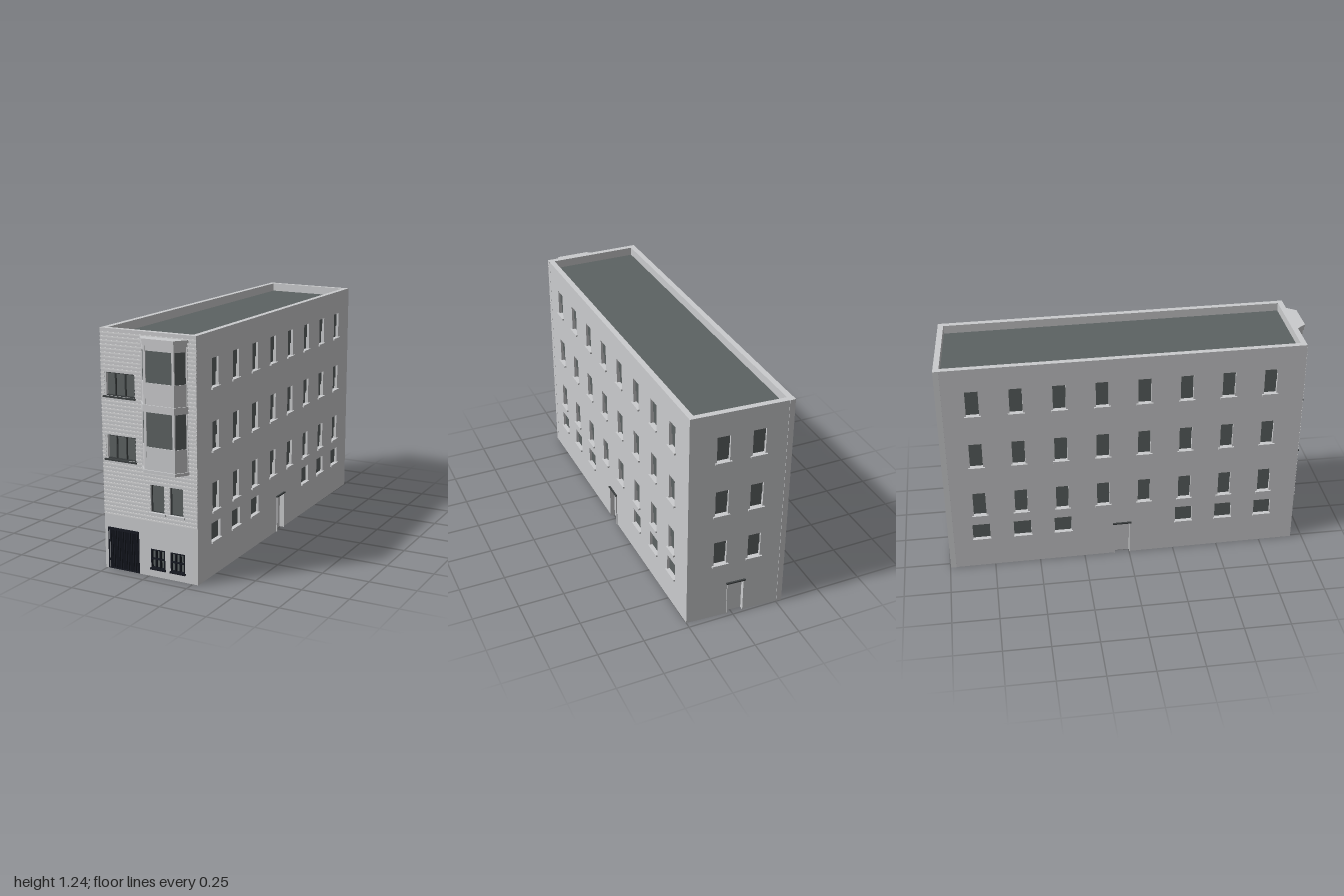
import * as THREE from 'three';

const H = 1.235, T = 0.03;
const mat = (name, color) => {
  const m = new THREE.MeshStandardMaterial({ color });
  m.name = name;
  return m;
};

export function createModel() {
  const wallMat = mat('pale grey wall', 0xcbccce);
  const sidingMat = mat('light siding', 0xdadadb);
  const glassMat = mat('dark grey glass and roof', 0x5c6262);
  const frameMat = mat('charcoal frame', 0x3c4041);
  const ironMat = mat('black iron', 0x161922);
  const model = new THREE.Group();
  model.name = 'building';

  const add = (parent, name, geo, material) => {
    const m = new THREE.Mesh(geo, material);
    m.name = name;
    parent.add(m);
    return m;
  };
  // Box given by its limits in a wall's own frame: along, up, outward
  const box = (parent, name, material, u0, u1, y0, y1, w0, w1) => {
    const m = add(parent, name, new THREE.BoxGeometry(u1 - u0, y1 - y0, w1 - w0), material);
    m.position.set((u0 + u1) / 2, (y0 + y1) / 2, (w0 + w1) / 2);
    return m;
  };
  // Horizontal slab from plan points [x, z]
  const slab = (parent, name, material, plan, y0, y1) => {
    const shape = new THREE.Shape(plan.map(([x, z]) => new THREE.Vector2(x, -z)));
    const geo = new THREE.ExtrudeGeometry(shape, { depth: y1 - y0, bevelEnabled: false });
    geo.rotateX(-Math.PI / 2);
    add(parent, name, geo, material).position.y = y0;
  };

  // Wall from a to b (left to right seen from outside) with window holes and a doorway notch
  function makeWall(name, a, b, holes, door) {
    const g = new THREE.Group();
    g.name = name;
    const dx = b[0] - a[0], dz = b[1] - a[1], half = Math.hypot(dx, dz) / 2;
    g.position.set((a[0] + b[0]) / 2, 0, (a[1] + b[1]) / 2);
    g.rotation.y = Math.atan2(-dz, dx);
    const pts = [[-half, 0]];
    if (door) pts.push([door[0], 0], [door[0], door[2]], [door[1], door[2]], [door[1], 0]);
    pts.push([half, 0], [half, H], [-half, H]);
    const vec = ([x, y]) => new THREE.Vector2(x, y);
    const shape = new THREE.Shape(pts.map(vec));
    for (const [u0, u1, y0, y1] of holes) {
      shape.holes.push(new THREE.Path([[u0, y0], [u0, y1], [u1, y1], [u1, y0]].map(vec)));
    }
    const geo = new THREE.ExtrudeGeometry(shape, { depth: T, bevelEnabled: false });
    geo.translate(0, 0, -T);
    add(g, name + 'Panel', geo, wallMat);
    model.add(g);
    return g;
  }

  const sill = (g, u0, u1, y) => box(g, 'sill', wallMat, u0 - 0.01, u1 + 0.01, y - 0.008, y + 0.002, -0.02, 0.01);
  // Sliding sash window: upper pane sits in front of the lower one
  function sashWindow(g, [u0, u1, y0, y1]) {
    const mid = (y0 + y1) / 2;
    box(g, 'upperSash', glassMat, u0, u1, mid - 0.004, y1, -0.022, -0.012);
    box(g, 'lowerSash', glassMat, u0, u1, y0, mid, -0.028, -0.018);
    sill(g, u0, u1, y0);
  }
  // Frame with an even grid of bars
  function grid(g, name, material, [u0, u1, y0, y1], cols, rows, t, w0, w1) {
    for (let i = 0; i <= cols; i++) {
      const u = u0 + t / 2 + (u1 - u0 - t) * i / cols;
      box(g, name, material, u - t / 2, u + t / 2, y0, y1, w0, w1);
    }
    for (let j = 0; j <= rows; j++) {
      const y = y0 + t / 2 + (y1 - y0 - t) * j / rows;
      box(g, name, material, u0, u1, y - t / 2, y + t / 2, w0, w1);
    }
  }
  // Recessed door with a slightly proud surround
  function addDoor(g, [u0, u1, h]) {
    box(g, 'door', wallMat, u0, u1, 0, h, -0.026, -0.02);
    box(g, 'doorBack', glassMat, u0, u1, 0, h, -0.034, -0.026);
    for (const u of [u0, u1]) box(g, 'doorJamb', wallMat, u - 0.003, u + 0.003, 0, h, -0.02, 0.006);
    box(g, 'doorLintel', frameMat, u0 - 0.008, u1 + 0.008, h - 0.002, h + 0.005, -0.02, 0.01);
  }

  // Slightly skewed footprint
  const FL = [-0.26, 0.937], FR = [0.28, 0.937], BR = [0.25, -0.965], BL = [-0.285, -0.997];
  const floors = [[0.335, 0.48], [0.645, 0.79], [0.96, 1.105]];

  // Long side walls and back wall
  function sashWall(name, a, b, columns, smallColumns, door) {
    const tall = [], small = [];
    for (const u of columns) for (const [y0, y1] of floors) tall.push([u - 0.034, u + 0.034, y0, y1]);
    for (const u of smallColumns) small.push([u - 0.047, u + 0.047, 0.18, 0.275]);
    const g = makeWall(name, a, b, [...tall, ...small], door);
    tall.forEach((o) => sashWindow(g, o));
    for (const o of small) {
      box(g, 'lowWindow', glassMat, ...o, -0.026, -0.014);
      sill(g, o[0] + 0.006, o[1] - 0.006, o[2]);
    }
    addDoor(g, door);
  }
  const columnsFor = (pitch) => Array.from({ length: 8 }, (_, i) => (i - 3.5) * pitch);
  for (const [name, a, b, pitch] of [['leftWall', FR, BR, 0.218], ['rightWall', BL, FL, 0.224]]) {
    const cols = columnsFor(pitch);
    sashWall(name, a, b, cols, cols.filter((_, i) => i < 3 || i > 4), [-0.052, 0.035, 0.2]);
  }
  sashWall('backWall', BR, BL, [-0.0925, 0.0925], [], [-0.045, 0.045, 0.2]);

  // Front wall openings
  const triple = [[-0.25, -0.075, 0.58, 0.702], [-0.25, -0.075, 0.9, 1.018]];
  const pair = [[0.005, 0.083, 0.335, 0.477], [0.115, 0.19, 0.335, 0.477]];
  const barred = [[0.003, 0.083, 0.045, 0.145], [0.116, 0.196, 0.045, 0.145]];
  const gate = [-0.25, -0.067, 0.22];
  const front = makeWall('frontWall', FL, FR, [...triple, ...pair, ...barred], gate);
  for (const o of [...triple, ...pair, ...barred]) box(front, 'frontGlass', glassMat, ...o, -0.028, -0.016);
  for (const o of triple) {
    grid(front, 'tripleFrame', frameMat, o, 3, 1, 0.005, -0.018, -0.006);
    box(front, 'tripleSill', frameMat, o[0] - 0.006, o[1] + 0.006, o[2] - 0.008, o[2], -0.02, 0.01);
  }
  for (const o of pair) {
    grid(front, 'pairFrame', frameMat, o, 1, 1, 0.004, -0.018, -0.008);
    sill(front, o[0], o[1], o[2]);
  }
  for (const o of barred) {
    grid(front, 'windowGrille', ironMat, o, 3, 2, 0.005, -0.012, 0.003);
    box(front, 'grilleSill', ironMat, o[0] - 0.004, o[1] + 0.004, 0.038, 0.047, -0.01, 0.009);
  }

  // Barred garage gate
  box(front, 'gateBacking', glassMat, gate[0], gate[1], 0, gate[2], -0.036, -0.026);
  grid(front, 'gateBars', ironMat, [gate[0], gate[1], 0.002, gate[2]], 17, 1, 0.0055, -0.006, 0.003);
  box(front, 'gateTopRail', ironMat, gate[0], gate[1], 0.208, 0.221, -0.006, 0.005);

  // Horizontal siding, interrupted by the windows
  for (let y = 0.29; y < 1.22; y += 0.02) {
    let u = -0.27;
    const cuts = [...triple, ...pair].filter((o) => y + 0.007 > o[2] - 0.008 && y < o[3]);
    cuts.sort((p, q) => p[0] - q[0]);
    for (const [u0, u1] of [...cuts, [0.27, 0.27]]) {
      box(front, 'siding', sidingMat, u, u0, y, y + 0.007, -0.002, 0.003);
      u = u1;
    }
  }

  // Two-storey bay window
  const bay = new THREE.Group();
  bay.name = 'bayWindow';
  model.add(bay);
  const plan = (o) => [[-0.024 - o, 0.925], [-0.024 - o, 0.938], [0.02 - o / 2, 0.992 + o],
    [0.189 + o / 2, 0.992 + o], [0.23 + o, 0.938], [0.23 + o, 0.925]];
  const layers = [
    ['bayFoot', 0.555, 0.57, 0.007], ['bayApron', 0.57, 0.685, 0],
    ['bayGlass', 0.685, 0.858, -0.004], ['bayBelt', 0.858, 0.893, 0.006],
    ['bayApron', 0.893, 1.0, 0], ['bayGlass', 1.0, 1.155, -0.004],
    ['bayHead', 1.155, 1.18, 0], ['bayCornice', 1.18, 1.2, 0.004], ['bayCap', 1.2, 1.213, 0.008],
  ];
  for (const [name, y0, y1, o] of layers) {
    slab(bay, name, name === 'bayGlass' ? glassMat : wallMat, plan(o), y0, y1);
  }
  // Posts at the bay's corners and against the wall
  for (const [x, z, w] of [[0.0255, 0.988, 0.013], [0.1835, 0.988, 0.013], [-0.022, 0.936, 0.008], [0.228, 0.936, 0.008]]) {
    box(bay, 'bayPost', wallMat, x - w / 2, x + w / 2, 0.57, 1.18, z - 0.005, z + 0.005);
  }

  // Flat roof behind the parapet
  const k = 0.02;
  slab(model, 'roof', glassMat, [[FL[0] + k, FL[1] - k], [FR[0] - k, FR[1] - k],
    [BR[0] - k, BR[1] + k], [BL[0] + k, BL[1] + k]], 1.17, 1.19);
  return model;
}
